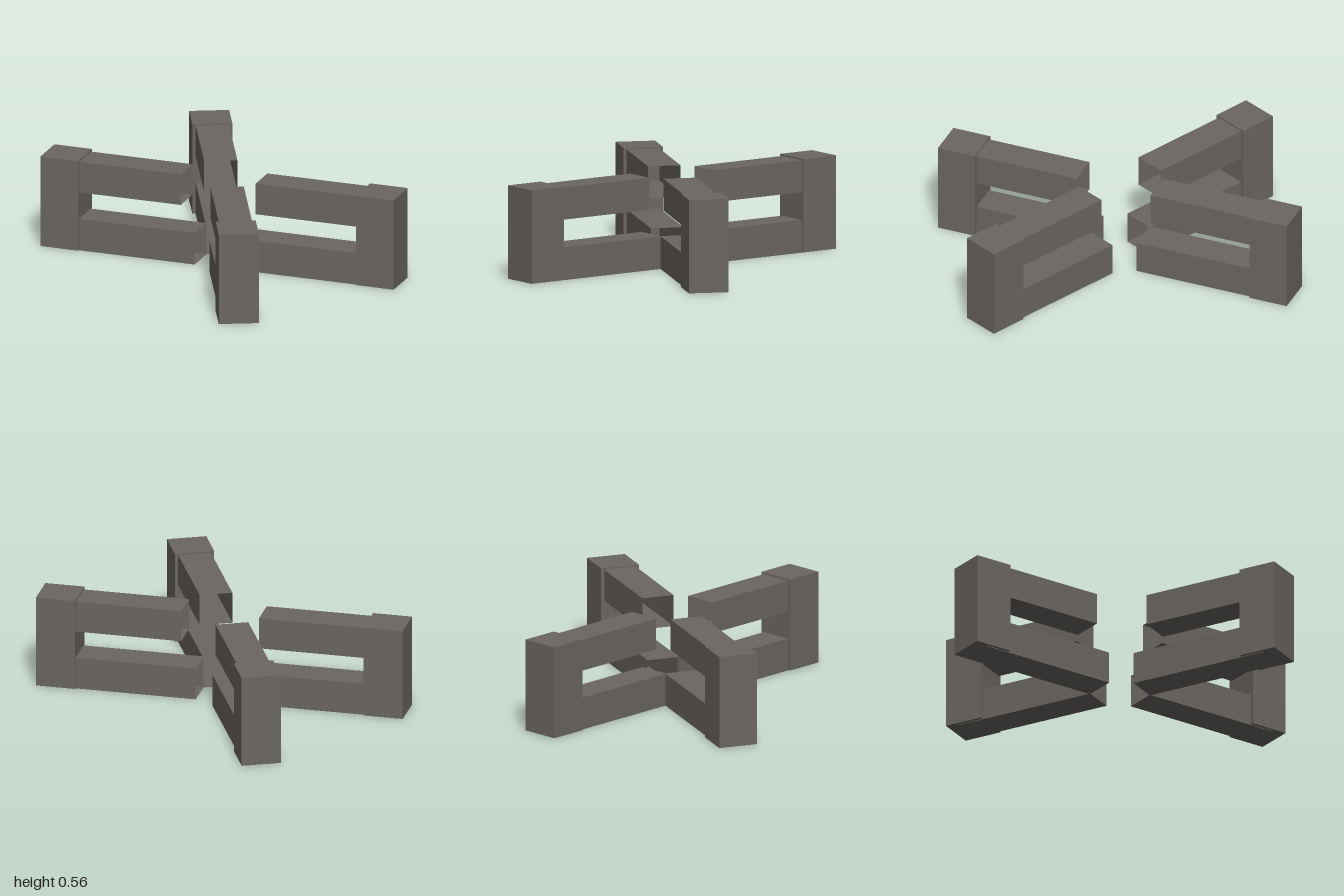
import * as THREE from 'three';

export function createModel() {
  const model = new THREE.Group();
  model.name = 'crossBarrier';
  const darkStone = new THREE.MeshStandardMaterial({ color: 0x6b6661, side: THREE.DoubleSide });
  darkStone.name = 'darkStone';

  // Box spanning a radial range (z) and a height range (y), optionally hollow-ended
  function block(name, width, y0, y1, z0, z1, openEnds) {
    const geometry = new THREE.BoxGeometry(width, y1 - y0, z1 - z0);
    if (openEnds) {
      // Keep the four long sides only
      geometry.setIndex(Array.from(geometry.index.array).slice(0, 24));
      geometry.clearGroups();
    }
    geometry.translate(0, (y0 + y1) / 2, (z0 + z1) / 2);
    const mesh = new THREE.Mesh(geometry, darkStone);
    mesh.name = name;
    return mesh;
  }

  // Four identical arms in an X, each a post with two beams pointing inward
  const angle = 0.566;
  for (const turn of [angle, -angle, Math.PI - angle, Math.PI + angle]) {
    const arm = new THREE.Group();
    arm.name = 'arm';
    arm.add(
      block('post', 0.236, 0.004, 0.56, 0.873, 1.109, false),
      block('lowerBeam', 0.196, 0, 0.195, 0.147, 1.027, true),
      block('upperBeam', 0.196, 0.36, 0.55, 0.235, 1.027, true)
    );
    arm.rotation.y = turn;
    model.add(arm);
  }
  return model;
}
